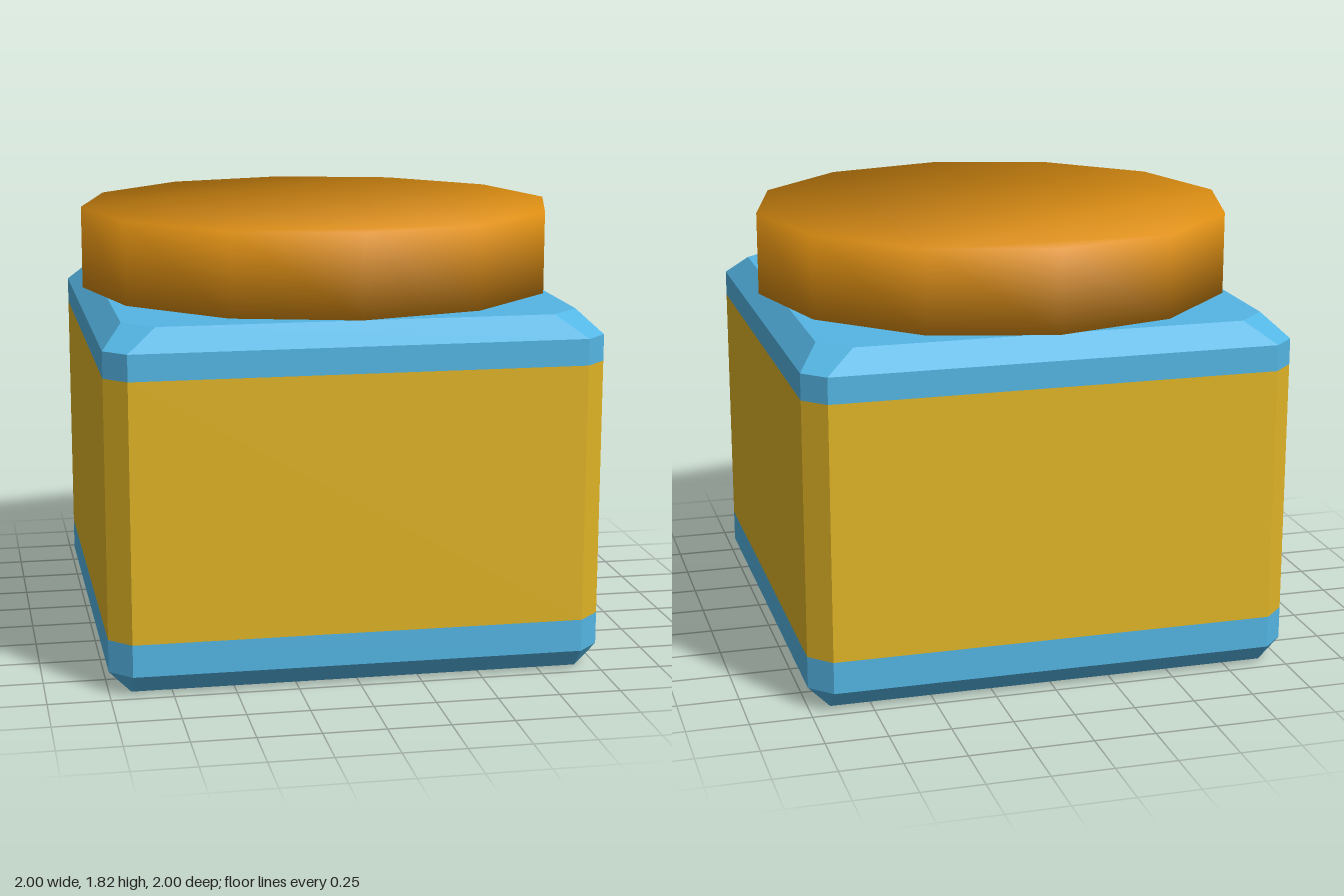
import * as THREE from 'three';

const skyBlue = new THREE.MeshStandardMaterial({ name: 'skyBlue', color: 0x54b6e4 });
const mustard = new THREE.MeshStandardMaterial({ name: 'mustardYellow', color: 0xe0b426 });
const orange = new THREE.MeshStandardMaterial({ name: 'orange', color: 0xde8f12 });

// Square outline with cut corners: half width, corner cut, height
function ring(half, cut, y) {
  const inner = half - cut;
  return [
    [half, -inner], [half, inner], [inner, half], [-inner, half],
    [-half, inner], [-half, -inner], [-inner, -half], [inner, -half],
  ].map(([x, z]) => new THREE.Vector3(x, y, z));
}

// Flat-faced skin over a stack of rings, optionally closed below or above
function loft(rings, closeBottom, closeTop) {
  const points = [];
  const n = rings[0].length;
  for (let i = 0; i < n; i++) {
    const j = (i + 1) % n;
    for (let k = 0; k + 1 < rings.length; k++) {
      const lower = rings[k], upper = rings[k + 1];
      points.push(lower[i], upper[i], upper[j]);
      if (lower[i].distanceTo(lower[j]) > 1e-6) points.push(lower[i], upper[j], lower[j]);
    }
    const first = rings[0], last = rings[rings.length - 1];
    if (closeBottom && first[i].distanceTo(first[j]) > 1e-6) {
      points.push(new THREE.Vector3(0, first[0].y, 0), first[i], first[j]);
    }
    if (closeTop) points.push(new THREE.Vector3(0, last[0].y, 0), last[j], last[i]);
  }
  const geometry = new THREE.BufferGeometry().setFromPoints(points);
  geometry.computeVertexNormals();
  return geometry;
}

// Twelve-sided lid whose rim normals are shared by the wall and the faces
function lidGeometry(radius, height, tilt) {
  const corners = Array.from({ length: 12 }, (_, i) => {
    const a = (i * Math.PI) / 6;
    return new THREE.Vector2(radius * Math.cos(a), radius * Math.sin(a));
  });
  const geometry = new THREE.ExtrudeGeometry(new THREE.Shape(corners), { depth: height, bevelEnabled: false });
  geometry.rotateX(-Math.PI / 2);
  const position = geometry.attributes.position;
  const normal = new THREE.Vector3();
  for (let i = 0; i < position.count; i++) {
    const up = position.getY(i) > height / 2 ? tilt : -tilt;
    normal.set(position.getX(i) / radius, up, position.getZ(i) / radius).normalize();
    geometry.attributes.normal.setXYZ(i, normal.x, normal.y, normal.z);
  }
  return geometry;
}

export function createModel() {
  const model = new THREE.Group();
  model.name = 'jar';
  const add = (name, geometry, material) => {
    const mesh = new THREE.Mesh(geometry, material);
    mesh.name = name;
    model.add(mesh);
    return mesh;
  };

  // Chamfered body in three bands
  const bandBottom = ring(1, 0.088, 0.22);
  const bandTop = ring(1, 0.088, 1.27);
  add('bodyBase', loft([ring(0.912, 0, 0), ring(1, 0.088, 0.088), bandBottom], true, false), skyBlue);
  add('labelBand', loft([bandBottom, bandTop], false, false), mustard);
  add('bodyShoulder', loft([bandTop, ring(1, 0.088, 1.377), ring(0.915, 0.122, 1.465)], false, true), skyBlue);

  // Lid hovering just above the body
  add('lid', lidGeometry(1, 0.34, 0.95), orange).position.y = 1.48;

  return model;
}
